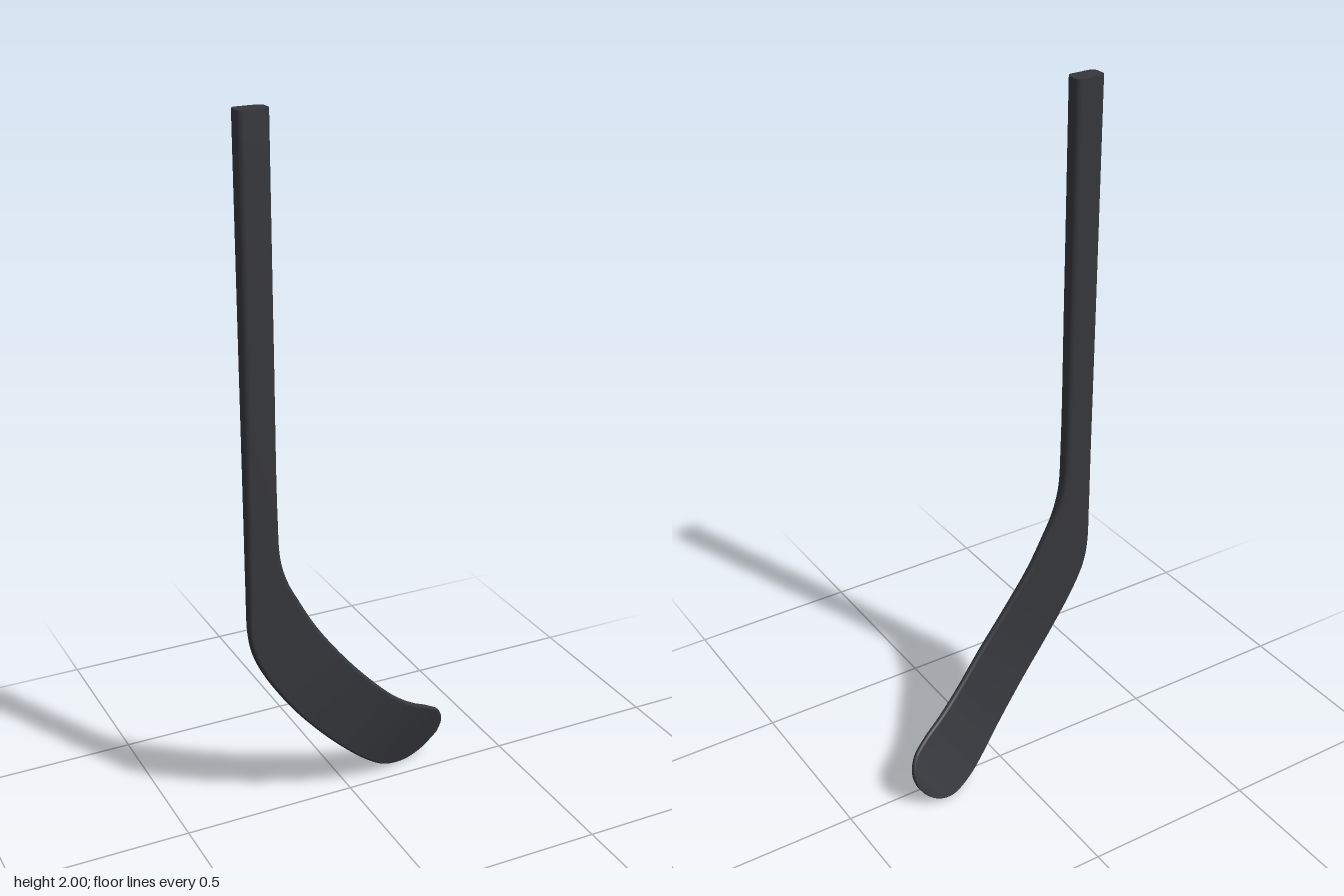
import * as THREE from 'three';

// Stations from butt to toe: heel edge x,y,z, inner edge x,y,z, thickness
const STATIONS = [
  [-0.33, 2, 0.054, -0.245, 2, 0.054, 0.052],
  [-0.33, 1.4, 0.055, -0.244, 1.4, 0.055, 0.047],
  [-0.33, 0.95, 0.056, -0.242, 0.95, 0.056, 0.041],
  [-0.33, 0.75, 0.056, -0.235, 0.82, 0.055, 0.036],
  [-0.328, 0.61, 0.056, -0.215, 0.75, 0.054, 0.031],
  [-0.315, 0.545, 0.055, -0.18, 0.68, 0.054, 0.028],
  [-0.28, 0.47, 0.054, -0.13, 0.592, 0.054, 0.025],
  [-0.2, 0.35, 0.05, -0.05, 0.482, 0.054, 0.022],
  [-0.1, 0.232, 0.036, 0.04, 0.378, 0.046, 0.02],
  [0, 0.13, 0.009, 0.13, 0.288, 0.025, 0.018],
  [0.07, 0.067, -0.018, 0.2, 0.235, 0.004, 0.017],
  [0.13, 0.025, -0.042, 0.26, 0.2, -0.015, 0.016],
  [0.2, 0.004, -0.067, 0.305, 0.165, -0.033, 0.015],
  [0.245, 0.012, -0.074, 0.323, 0.122, -0.05, 0.014],
  [0.275, 0.029, -0.073, 0.316, 0.08, -0.061, 0.012],
  [0.294, 0.046, -0.069, 0.298, 0.051, -0.068, 0.006],
];
const STEPS = 120;
const ARC = 5; // points per rounded corner

// Rounded rectangle, counter-clockwise in (u, n)
function section(w, t, r) {
  const pts = [];
  [[1, 1], [-1, 1], [-1, -1], [1, -1]].forEach(([sx, sy], q) => {
    for (let k = 0; k < ARC; k++) {
      const a = (q + k / (ARC - 1)) * Math.PI / 2;
      pts.push([sx * (w / 2 - r) + r * Math.cos(a), sy * (t / 2 - r) + r * Math.sin(a)]);
    }
  });
  return pts;
}

function buildRings() {
  const curve = (o) => new THREE.CatmullRomCurve3(STATIONS.map((s) => new THREE.Vector3(s[o], s[o + 1], s[o + 2])));
  const heel = curve(0), inner = curve(3);
  const centre = (f) => heel.getPoint(f).lerp(inner.getPoint(f), 0.5);
  const rings = [];
  for (let i = 0; i <= STEPS; i++) {
    const f = i / STEPS;
    const a = heel.getPoint(f), b = inner.getPoint(f);
    const tangent = centre(Math.min(1, f + 0.004)).sub(centre(Math.max(0, f - 0.004))).normalize();
    const u = b.clone().sub(a);
    const w = u.length();
    u.normalize();
    const n = tangent.cross(u).normalize();
    const p = f * (STATIONS.length - 1), k = Math.min(Math.floor(p), STATIONS.length - 2);
    const t = THREE.MathUtils.lerp(STATIONS[k][6], STATIONS[k + 1][6], p - k);
    const r = Math.min(w * 0.45, t * THREE.MathUtils.lerp(0.3, 0.46, Math.min(1, f * 2)));
    const mid = a.add(b).multiplyScalar(0.5);
    rings.push(section(w, t, r).map(([x, y]) => mid.clone().addScaledVector(u, x).addScaledVector(n, y)));
  }
  return rings;
}

function makeGeometry(points, index) {
  const g = new THREE.BufferGeometry().setFromPoints(points);
  g.setIndex(index);
  g.computeVertexNormals();
  return g;
}

function cap(ring, flip) {
  const c = ring.reduce((s, p) => s.add(p), new THREE.Vector3()).divideScalar(ring.length);
  const index = [];
  ring.forEach((_, j) => {
    const j1 = (j + 1) % ring.length;
    if (flip) index.push(ring.length, j1, j);
    else index.push(ring.length, j, j1);
  });
  return makeGeometry([...ring, c], index);
}

export function createModel() {
  const group = new THREE.Group();
  group.name = 'hockeyStick';
  const material = new THREE.MeshStandardMaterial({ color: 0x36373c });
  const add = (name, geometry) => {
    const mesh = new THREE.Mesh(geometry, material);
    mesh.name = name;
    group.add(mesh);
  };

  // Shaft flowing into the curved blade as one skin
  const rings = buildRings();
  const m = rings[0].length;
  const index = [];
  for (let i = 0; i < STEPS; i++) {
    for (let j = 0; j < m; j++) {
      const j1 = (j + 1) % m;
      const a = i * m + j, b = i * m + j1, c = a + m, d = b + m;
      index.push(a, b, c, b, d, c);
    }
  }
  add('shaftAndBlade', makeGeometry(rings.flat(), index));

  // Flat butt end and tiny toe closure
  add('buttEnd', cap(rings[0], true));
  add('toeEnd', cap(rings[STEPS], false));
  return group;
}
